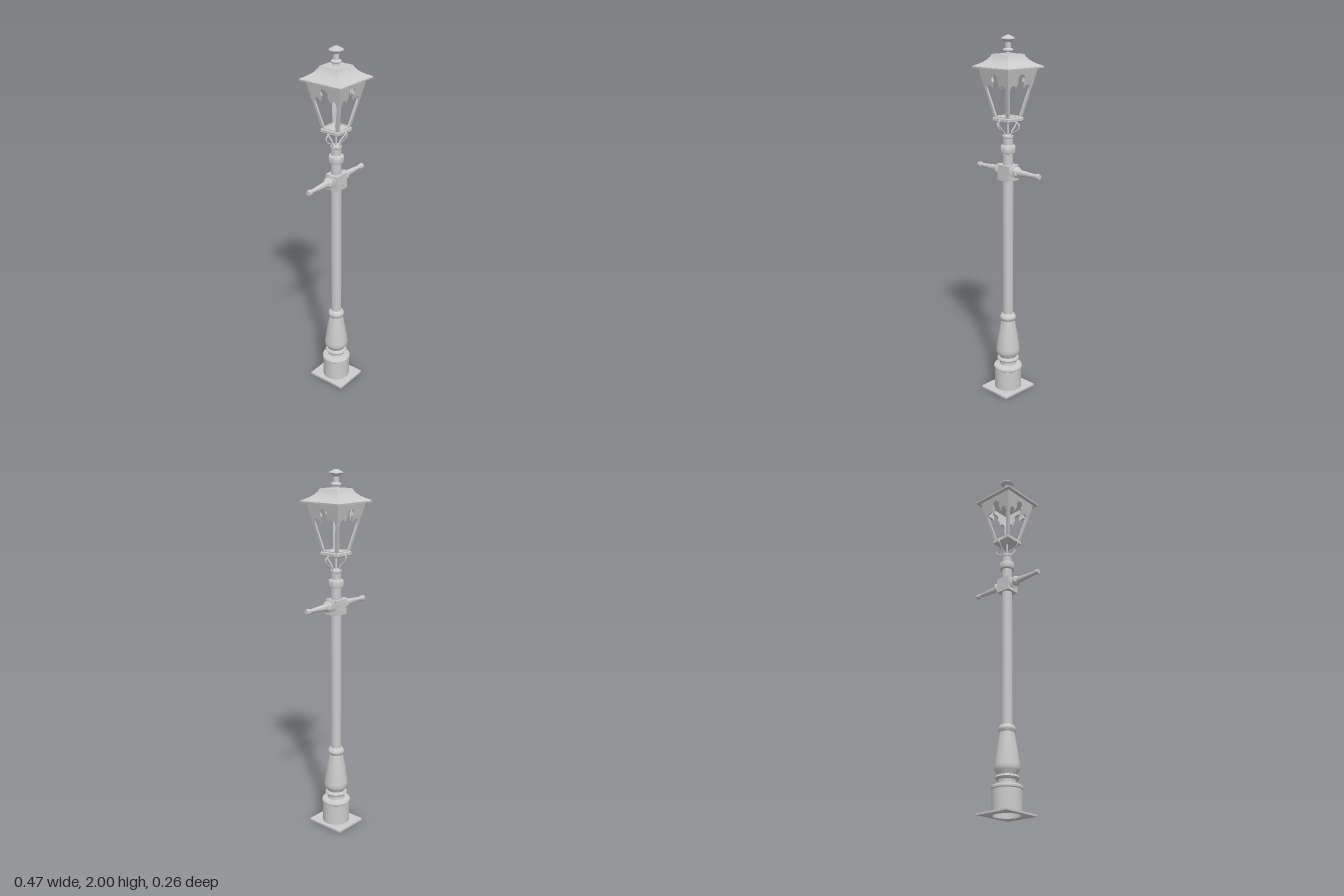
import * as THREE from 'three';
import { toCreasedNormals } from 'three/addons/utils/BufferGeometryUtils.js';

const grey = new THREE.MeshStandardMaterial({ color: 0xcccccc });
const greyBoth = new THREE.MeshStandardMaterial({ color: 0xcccccc, side: THREE.DoubleSide });

export function createModel() {
  const model = new THREE.Group();

  const add = (name, geometry, parent = model, material = grey) => {
    const mesh = new THREE.Mesh(geometry, material);
    mesh.name = name;
    parent.add(mesh);
    return mesh;
  };
  // Turned part from [radius, height] pairs listed upwards
  const turned = (pairs, segments = 32) => toCreasedNormals(
    new THREE.LatheGeometry(pairs.map(([r, y]) => new THREE.Vector2(r, y)), segments), 0.6);
  // Square part from [half width, height] pairs listed upwards
  const square = (pairs) => toCreasedNormals(
    new THREE.LatheGeometry(pairs.map(([w, y]) => new THREE.Vector2(w * Math.SQRT2, y)), 4)
      .rotateY(Math.PI / 4), 0.6);
  const box = (w, h, d, y) => new THREE.BoxGeometry(w, h, d).translate(0, y, 0);

  // Base plate with a round opening under the hollow drum
  const plate = new THREE.Shape([[-0.1, -0.115], [0.1, -0.115], [0.1, 0.115], [-0.1, 0.115]]
    .map(([x, y]) => new THREE.Vector2(x, y)));
  plate.holes.push(new THREE.Path().absarc(0, 0, 0.072, 0, Math.PI * 2, true));
  add('basePlate', new THREE.ExtrudeGeometry(plate, { depth: 0.01, bevelEnabled: false, curveSegments: 24 })
    .rotateX(-Math.PI / 2));

  // Drum, mouldings and tapered pedestal
  add('pedestal', turned([
    [0.077, 0.005], [0.077, 0.128], [0.081, 0.132], [0.081, 0.142], [0.076, 0.149], [0.048, 0.154],
    [0.045, 0.165], [0.047, 0.178], [0.058, 0.181], [0.063, 0.188], [0.058, 0.198], [0.05, 0.201],
    [0.052, 0.207], [0.064, 0.222], [0.068, 0.238], [0.066, 0.255], [0.054, 0.34], [0.039, 0.425],
    [0.043, 0.432], [0.046, 0.438], [0.046, 0.446], [0.043, 0.453], [0.036, 0.463], [0.029, 0.466],
  ]), model, greyBoth);

  // Shaft with collar
  add('shaft', turned([[0.029, 0.46], [0.029, 1.25]]));
  add('crossBlock', box(0.084, 0.085, 0.078, 1.283));
  add('neck', turned([
    [0.028, 1.32], [0.028, 1.386], [0.039, 1.389], [0.041, 1.394], [0.041, 1.425], [0.038, 1.43],
    [0.027, 1.433], [0.027, 1.468], [0.03, 1.471], [0.03, 1.482], [0.026, 1.486], [0, 1.486],
  ]));

  // Ladder arms
  for (const side of [1, -1]) {
    const arm = add(side > 0 ? 'leftArm' : 'rightArm', turned([
      [0.032, 0.04], [0.032, 0.047], [0.02, 0.05], [0.019, 0.06], [0.028, 0.064], [0.03, 0.07],
      [0.027, 0.077], [0.018, 0.083], [0.017, 0.095], [0.01, 0.205], [0.014, 0.207], [0.015, 0.211],
      [0.015, 0.227], [0.013, 0.232], [0, 0.233],
    ], 24).rotateZ(-Math.PI / 2));
    arm.position.y = 1.293;
    arm.rotation.y = side > 0 ? 0 : Math.PI;
  }

  // Curved brackets carrying the lantern: wide at the sides, slim front and back
  const wide = [[0.022, 1.475], [0.03, 1.495], [0.055, 1.508], [0.078, 1.525], [0.082, 1.545], [0.068, 1.556], [0.048, 1.56]];
  const slim = [[0.024, 1.475], [0.028, 1.5], [0.05, 1.522], [0.066, 1.545], [0.067, 1.562], [0.056, 1.572]];
  for (let i = 0; i < 4; i++) {
    const curve = new THREE.CatmullRomCurve3((i % 2 ? slim : wide).map(([x, y]) => new THREE.Vector3(x, y, 0)));
    add('bracket', new THREE.TubeGeometry(curve, 24, 0.004, 8)).rotation.y = i * Math.PI / 2;
  }

  // Lantern: tray, burner and four sloping glazed sides
  const lantern = new THREE.Group();
  lantern.name = 'lantern';
  model.add(lantern);
  add('tray', square([[0, 1.558], [0.054, 1.558], [0.058, 1.562], [0.058, 1.576], [0.053, 1.582], [0, 1.582]]), lantern);
  add('burner', turned([[0.005, 1.48], [0.005, 1.6], [0.003, 1.612], [0, 1.612]], 12), lantern);

  const bottom = 1.575, top = 1.84, low = 0.052, high = 0.111;
  const tilt = Math.atan2(high - low, top - bottom);
  const v = (y) => (y - bottom) / Math.cos(tilt);
  const side = new THREE.Shape([[-low, 0], [low, 0], [high, v(top)], [-high, v(top)]]
    .map(([x, y]) => new THREE.Vector2(x, y)));
  // Opening with a round lobe above two shoulders
  const opening = new THREE.Path();
  opening.moveTo(-0.038, v(1.585));
  opening.lineTo(-0.07, v(1.725));
  opening.quadraticCurveTo(-0.07, v(1.755), -0.052, v(1.752));
  opening.quadraticCurveTo(-0.034, v(1.752), -0.03, v(1.735));
  opening.lineTo(-0.019, v(1.765));
  opening.absarc(0, v(1.784), 0.024, Math.PI * 1.2, -Math.PI * 0.2, true);
  opening.lineTo(0.03, v(1.735));
  opening.quadraticCurveTo(0.034, v(1.752), 0.052, v(1.752));
  opening.quadraticCurveTo(0.07, v(1.755), 0.07, v(1.725));
  opening.lineTo(0.038, v(1.585));
  opening.closePath();
  side.holes.push(opening);
  const sideGeometry = new THREE.ExtrudeGeometry(side, { depth: 0.01, bevelEnabled: false, curveSegments: 10 })
    .translate(0, 0, -0.01).rotateX(tilt).translate(0, bottom, low);
  for (let i = 0; i < 4; i++) add('lanternSide', sideGeometry, lantern).rotation.y = i * Math.PI / 2;

  // Hollow swept roof with a turned-down rim
  add('roof', square([
    [0.108, 1.834], [0.131, 1.834], [0.132, 1.842], [0.127, 1.846], [0.108, 1.855], [0.09, 1.866],
    [0.076, 1.878], [0.066, 1.891], [0.059, 1.905], [0, 1.907],
  ]), lantern, greyBoth);

  // Finial
  add('finial', turned([
    [0.02, 1.905], [0.018, 1.916], [0.027, 1.92], [0.028, 1.926], [0.024, 1.932], [0.015, 1.936],
    [0.014, 1.965], [0.018, 1.97], [0.034, 1.976], [0.038, 1.982], [0.036, 1.987], [0.017, 1.996],
    [0.014, 2.0], [0, 2.0],
  ]), lantern);

  return model;
}
